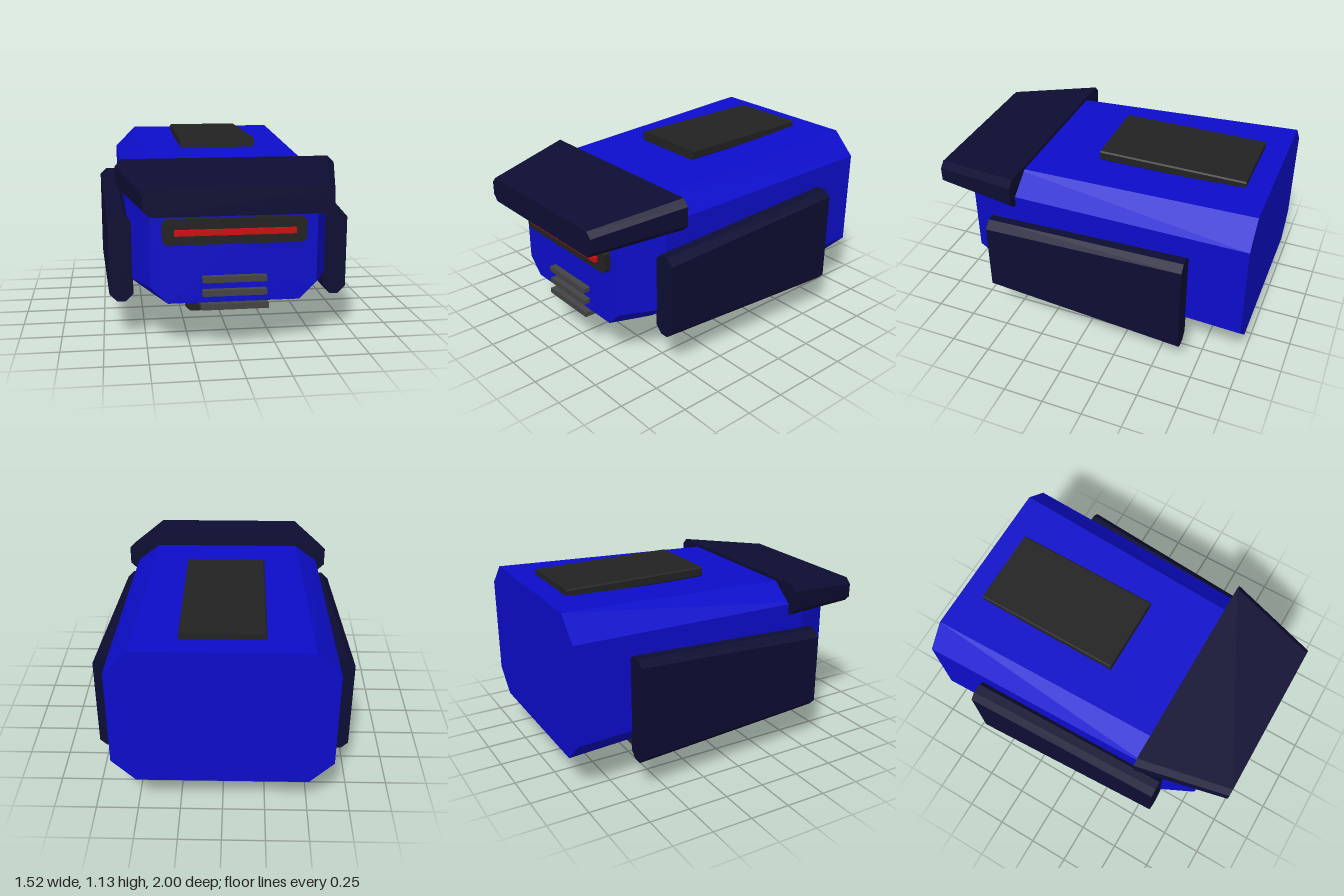
import * as THREE from 'three';

const paint = (color) => new THREE.MeshStandardMaterial({ color, flatShading: true, side: THREE.DoubleSide });
const blue = paint(0x0d0dcc), navy = paint(0x0d0d33), charcoal = paint(0x222222);
const grey = paint(0x444444), red = paint(0xcc0d0d);

// Chamfered rectangle at depth z, counter-clockwise seen from the front
function section(z, x0, x1, y0, y1, cx, cy = cx) {
  return [
    [x0 + cx, y0], [x1 - cx, y0], [x1, y0 + cy], [x1, y1 - cy],
    [x1 - cx, y1], [x0 + cx, y1], [x0, y1 - cy], [x0, y0 + cy],
  ].map(([x, y]) => [x, y, z]);
}

// Flat-shaded solid through sections ordered back to front
function loft(name, material, sections) {
  const n = sections[0].length, last = sections.length - 1, index = [];
  for (let s = 0; s < last; s++) {
    for (let i = 0; i < n; i++) {
      const a = s * n + i, b = s * n + (i + 1) % n;
      index.push(a, b, b + n, a, b + n, a + n);
    }
  }
  for (let i = 1; i < n - 1; i++) {
    index.push(0, i + 1, i);
    index.push(last * n, last * n + i, last * n + i + 1);
  }
  const indexed = new THREE.BufferGeometry();
  indexed.setAttribute('position', new THREE.Float32BufferAttribute(sections.flat(2), 3));
  indexed.setIndex(index);
  const geometry = indexed.toNonIndexed();
  geometry.computeVertexNormals();
  const mesh = new THREE.Mesh(geometry, material);
  mesh.name = name;
  return mesh;
}

// Straight chamfered block, symmetric in x
const block = (name, material, w, y0, y1, z0, z1, c) =>
  loft(name, material, [section(z0, -w, w, y0, y1, c), section(z1, -w, w, y0, y1, c)]);

export function createModel() {
  const model = new THREE.Group();

  // Main shell, narrowing at the face
  model.add(loft('body', blue, [
    section(-1, -0.64, 0.64, 0.22, 1.10, 0.14),
    section(0.55, -0.60, 0.60, 0.27, 1.035, 0.14, 0.11),
    section(0.8, -0.48, 0.48, 0.28, 0.97, 0.10),
  ]));

  // Overhanging brow
  model.add(loft('brow', navy, [
    section(0.44, -0.66, 0.66, 0.865, 1.06, 0.04),
    section(1, -0.52, 0.52, 0.825, 0.98, 0.035),
  ]));

  // Side panels, mirrored
  for (const side of [1, -1]) {
    const span = (a, b) => (side > 0 ? [a, b] : [-b, -a]);
    model.add(loft(side > 0 ? 'leftPanel' : 'rightPanel', navy, [
      section(-0.66, ...span(0.62, 0.76), 0.20, 0.84, 0.04),
      section(0.6, ...span(0.57, 0.71), 0.24, 0.76, 0.045),
    ]));
  }

  // Roof plate and underside block
  model.add(block('roofPlate', charcoal, 0.24, 1.07, 1.13, -0.86, 0.04, 0.008));
  model.add(block('neckBlock', charcoal, 0.22, 0, 0.16, -0.44, 0.12, 0.03));

  // Eye slit
  model.add(block('eyeFrame', charcoal, 0.41, 0.63, 0.775, 0.76, 0.84, 0.022));
  model.add(block('eyeLight', red, 0.345, 0.685, 0.718, 0.8, 0.86, 0.003));

  // Mouth vents
  [0.245, 0.325, 0.405].forEach((y, i) => {
    model.add(block('vent' + (i + 1), grey, i === 0 ? 0.195 : 0.185, y, y + 0.035, 0.68, 0.84, 0.004));
  });

  return model;
}
